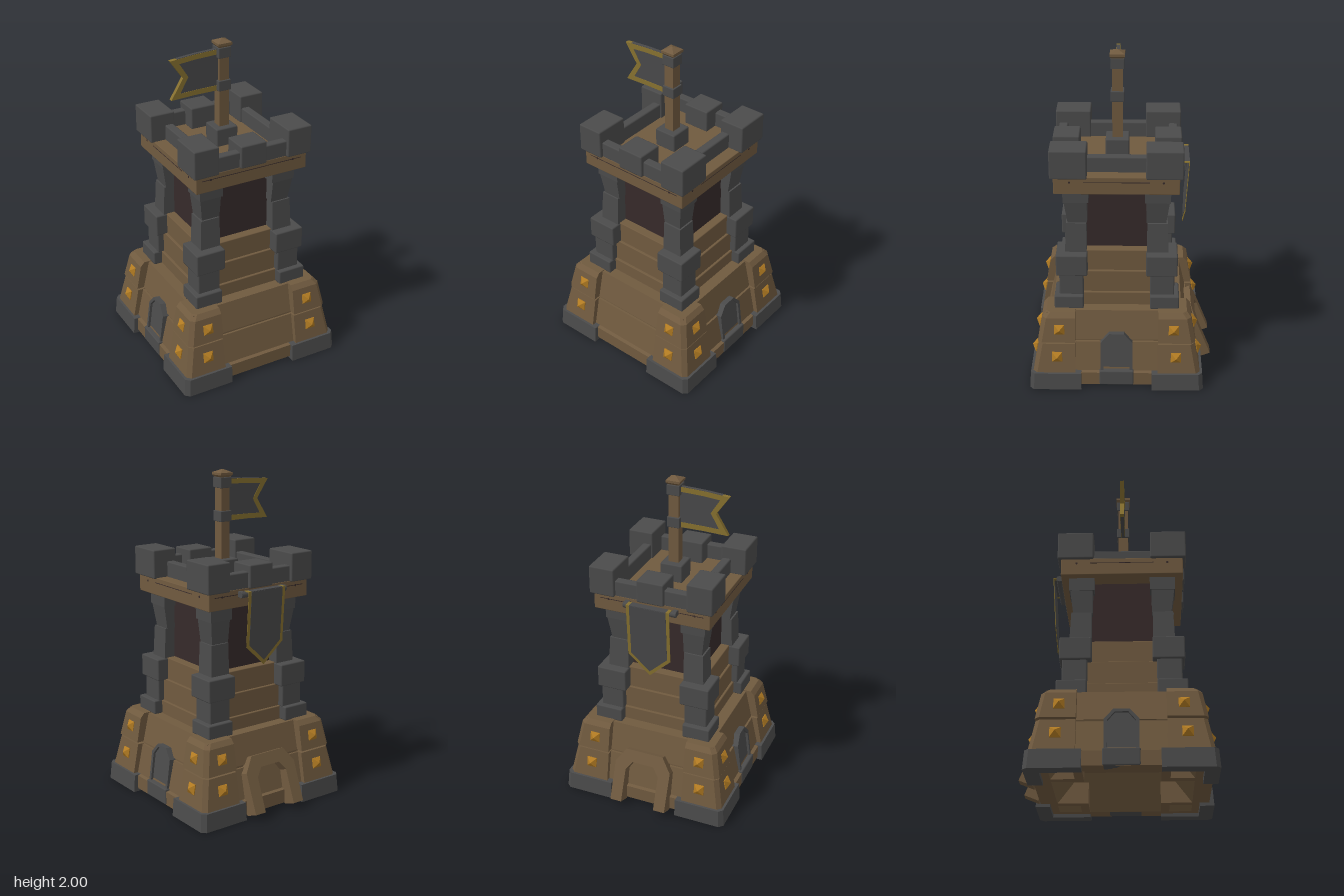
import * as THREE from 'three';
import { RoundedBoxGeometry } from 'three/addons/geometries/RoundedBoxGeometry.js';

const mat = (name, color) => {
  const m = new THREE.MeshStandardMaterial({ color });
  m.name = name;
  return m;
};

export function createModel() {
  const wood = mat('brown wood', 0x705a3f);
  const stone = mat('grey stone', 0x4b4b4b);
  const dark = mat('dark interior', 0x362a2a);
  const gold = mat('gold stud', 0xb07a22);
  const trim = mat('cloth trim', 0x86702f);
  const cloth = mat('grey cloth', 0x484849);

  const model = new THREE.Group();
  model.name = 'watchtower';
  const tower = new THREE.Group();
  tower.name = 'tower';
  tower.position.z = 0.03;
  model.add(tower);

  const add = (parent, name, geo, material, x = 0, y = 0, z = 0) => {
    const m = new THREE.Mesh(geo, material);
    m.name = name;
    m.position.set(x, y, z);
    parent.add(m);
    return m;
  };
  // box given by its limits, with softened edges when r > 0
  const block = (parent, name, material, x0, x1, y0, y1, z0, z1, r = 0.008) => {
    const s = [x1 - x0, y1 - y0, z1 - z0];
    const g = r ? new RoundedBoxGeometry(...s, 1, r) : new THREE.BoxGeometry(...s);
    return add(parent, name, g, material, (x0 + x1) / 2, (y0 + y1) / 2, (z0 + z1) / 2);
  };
  // square section turned from a half-width profile, lowest outer point first
  const square = (profile) => {
    const pts = profile.map(([r, y]) => new THREE.Vector2(r * Math.SQRT2, y));
    const g = new THREE.LatheGeometry(pts, 4, Math.PI / 4).toNonIndexed();
    g.computeVertexNormals();
    return g;
  };
  const points = (pts) => pts.map(([x, y]) => new THREE.Vector2(x, y));
  const plate = (pts, depth, z0 = -depth / 2, hole = null) => {
    const s = new THREE.Shape(points(pts));
    if (hole) s.holes.push(new THREE.Path(points(hole)));
    return new THREE.ExtrudeGeometry(s, { depth, bevelEnabled: false }).translate(0, 0, z0);
  };
  // upright prism whose outer faces lean in by d at the top
  const leaning = (pts, y0, y1, d, limit) => {
    const g = plate(pts, y1 - y0, 0).rotateX(-Math.PI / 2);
    const p = g.attributes.position;
    for (let i = 0; i < p.count; i++) {
      if (p.getY(i) < 1e-4) continue;
      if (p.getX(i) > limit) p.setX(i, p.getX(i) - d);
      if (-p.getZ(i) > limit) p.setZ(i, p.getZ(i) + d);
    }
    g.computeVertexNormals();
    return g.translate(0, y0, 0);
  };
  // L-shaped corner outline: outer edge b, end a, chamfer c, thickness t
  const ell = (a, b, c, t) => [[b, a], [b, b - c], [b - c, b], [a, b], [a, b - t], [b - t, b - t], [b - t, a]];
  const ring = (a, b) => [[a, a], [b, a], [b, b], [a, b]];
  // four copies turned about the tower axis
  const sides = [0, 1, 2, 3].map((k) => {
    const g = new THREE.Group();
    g.name = ['front', 'left', 'back', 'right'][k] + 'Side';
    g.rotation.y = k * Math.PI / 2;
    tower.add(g);
    return g;
  });

  // sloped base with a sill and a grooved seam, hollow underneath
  add(tower, 'baseCore', square([[0, 0.22], [0.25, 0.22], [0.4, 0.02], [0.5, 0.02], [0.5, 0.105], [0.478, 0.11],
    [0.438, 0.292], [0.425, 0.292], [0.425, 0.304], [0.432, 0.306], [0.39, 0.486], [0, 0.486]]), wood);
  // stepped lower wall, dark chamber, deck
  [[0.48, 0.57, 0.32], [0.565, 0.71, 0.305], [0.705, 0.845, 0.29]].forEach(([y0, y1, h]) =>
    block(tower, 'wallCourse', wood, -h, h, y0, y1, -h, h, 0.005));
  block(tower, 'chamber', dark, -0.235, 0.235, 0.84, 1.26, -0.235, 0.235, 0);
  block(tower, 'deck', wood, -0.363, 0.363, 1.25, 1.357, -0.363, 0.363, 0.004);

  sides.forEach((s, k) => {
    // corner armour of the base
    add(s, 'cornerFoot', leaning(ell(0.215, 0.53, 0.025, 0.085), 0, 0.11, 0.008, 0.3), stone);
    add(s, 'footFrame', plate(ring(0.215, 0.46), 0.13, 0, ring(0.265, 0.41)).rotateX(-Math.PI / 2), wood, 0, 0.02, 0);
    add(s, 'lowerCornerPlate', leaning(ell(0.25, 0.508, 0.025, 0.1), 0.105, 0.295, 0.036, 0.3), wood);
    add(s, 'upperCornerPlate', leaning(ell(0.25, 0.477, 0.025, 0.1), 0.307, 0.462, 0.029, 0.3), wood);
    add(s, 'plateBevel', leaning(ell(0.25, 0.448, 0.025, 0.09), 0.462, 0.491, 0.025, 0.3), wood);
    block(s, 'cornerFill', wood, 0.25, 0.42, 0.29, 0.486, 0.25, 0.42, 0);

    // pyramid studs
    for (const sx of [-1, 1]) for (const [x, y, z] of [[0.345, 0.39, 0.456], [0.36, 0.213, 0.485]]) {
      const stud = add(s, 'stud', square([[0.031, 0], [0.031, 0.008], [0, 0.034]]).rotateX(Math.PI / 2), gold, sx * x, y, z);
      stud.rotation.x = -0.19;
    }

    // corner pillar of stacked stones
    [[0.485, 0.572, 0.2, 0.375], [0.565, 0.715, 0.2, 0.345], [0.705, 0.842, 0.175, 0.362]].forEach(([y0, y1, a, b]) =>
      block(s, 'pillarStone', stone, a, b, y0, y1, a, b));
    [[0.84, 1.03, 0.18, 0.308, 0.008], [1.03, 1.17, 0.175, 0.29, -0.019], [1.17, 1.25, 0.165, 0.314, -0.002]].forEach(([y0, y1, a, b, d]) =>
      add(s, 'pillarStone', leaning(ring(a, b), y0, y1, d, 0.22), stone));

    // seam and pegs on the deck edge
    const w = k % 2 ? 0.19 : 0.325;
    block(s, 'deckSeam', dark, -w, w, 1.324, 1.328, 0.36, 0.364, 0);
    for (const sx of [-1, 1])
      add(s, 'deckPeg', new THREE.CylinderGeometry(0.007, 0.007, 0.004, 8).rotateX(Math.PI / 2), dark, sx * 0.27, 1.325, 0.362);
  });

  // battlements
  for (const sx of [-1, 1]) {
    const wall = block(tower, 'sideParapet', stone, -0.027, 0.027, 1.35, 1.45, -0.34, 0.34);
    wall.position.x = sx * 0.261;
    block(tower, 'endParapet', stone, -0.3, 0.3, 1.35, 1.45, -0.027, 0.027).position.z = sx * 0.335;
    block(tower, 'middleMerlon', stone, -0.084, 0.084, 1.352, 1.49, -0.079, 0.079).position.z = sx * 0.302;
    for (const sz of [-1, 1])
      block(tower, 'cornerMerlon', stone, -0.079, 0.079, 1.352, 1.526, -0.107, 0.107).position.set(sx * 0.304, 1.439, sz * 0.276);
  }

  // doors on the left and right
  const arch = (w, h, top, cut, y0) => [[-w, y0], [w, y0], [w, h - cut], [top, h], [-top, h], [-w, h - cut]];
  for (const k of [1, 3]) {
    const door = new THREE.Group();
    door.name = 'door';
    door.position.set(0, 0.02, 0.503);
    door.rotation.x = -0.13;
    sides[k].add(door);
    add(door, 'doorFrame', plate(arch(0.097, 0.342, 0.045, 0.06, 0.05), 0.1, -0.1, arch(0.079, 0.325, 0.037, 0.053, 0.08)), stone);
    add(door, 'doorPanel', plate(arch(0.084, 0.33, 0.038, 0.055, 0.06), 0.08, -0.095), stone);
    block(sides[k], 'doorSill', stone, -0.104, 0.104, 0.02, 0.12, 0.4, 0.506);
  }

  // buttress arch at the back
  const buttress = add(sides[2], 'backArch', plate([
    [-0.181, 0], [-0.108, 0], [-0.108, 0.21], [-0.068, 0.265], [0.068, 0.265], [0.108, 0.21], [0.108, 0],
    [0.181, 0], [0.181, 0.25], [0.12, 0.34], [-0.12, 0.34], [-0.181, 0.25]], 0.09, -0.09), wood, -0.01, 0.045, 0.588);
  buttress.rotation.x = -0.38;

  // hanging banner at the back
  add(sides[2], 'bannerRod', new THREE.CylinderGeometry(0.019, 0.019, 0.33, 8).rotateZ(Math.PI / 2), stone, 0.005, 1.328, 0.388);
  for (const sx of [-1, 1]) {
    block(sides[2], 'rodBracket', stone, -0.015, 0.015, 1.31, 1.345, 0.35, 0.4, 0.004).position.x = 0.005 + sx * 0.15;
    block(sides[2], 'foldTrim', trim, -0.01, 0.01, 1.344, 1.349, 0.386, 0.428, 0).position.x = 0.005 + sx * 0.124;
  }
  block(sides[2], 'bannerFold', cloth, -0.109, 0.119, 1.344, 1.349, 0.386, 0.428, 0);
  const banner = new THREE.Group();
  banner.name = 'banner';
  banner.position.set(0.005, 1.345, 0.426);
  banner.rotation.x = 0.06;
  sides[2].add(banner);
  add(banner, 'bannerTrim', plate([[-0.134, 0], [-0.134, -0.33], [0, -0.455], [0.134, -0.33], [0.134, 0]], 0.003), trim);
  add(banner, 'bannerCloth', plate([[-0.114, 0], [-0.114, -0.32], [0, -0.427], [0.114, -0.32], [0.114, 0]], 0.006), cloth);

  // flagpole
  block(tower, 'poleBase', stone, -0.07, 0.07, 1.352, 1.466, -0.07, 0.07);
  block(tower, 'pole', wood, -0.031, 0.031, 1.46, 1.96, -0.031, 0.031, 0);
  for (const y of [1.69, 1.89]) block(tower, 'poleBand', stone, -0.04, 0.04, y, y + 0.064, -0.04, 0.04, 0.004);
  add(tower, 'poleCap', square([[0, 1.954], [0.034, 1.954], [0.044, 1.966], [0.044, 1.98], [0, 2]]), wood);

  // swallow-tailed flag with a border on both faces
  add(tower, 'flagCloth', plate([[-0.03, 1.688], [-0.03, 1.942], [-0.18, 1.937], [-0.293, 1.928],
    [-0.235, 1.808], [-0.293, 1.684], [-0.18, 1.688]], 0.021), cloth);
  add(tower, 'flagTrim', plate([[-0.03, 1.69], [-0.03, 1.722], [-0.18, 1.72], [-0.276, 1.716], [-0.222, 1.808],
    [-0.278, 1.896], [-0.18, 1.905], [-0.03, 1.91], [-0.03, 1.94], [-0.18, 1.935], [-0.335, 1.922],
    [-0.255, 1.808], [-0.332, 1.684], [-0.18, 1.69]], 0.025), trim);

  return model;
}
